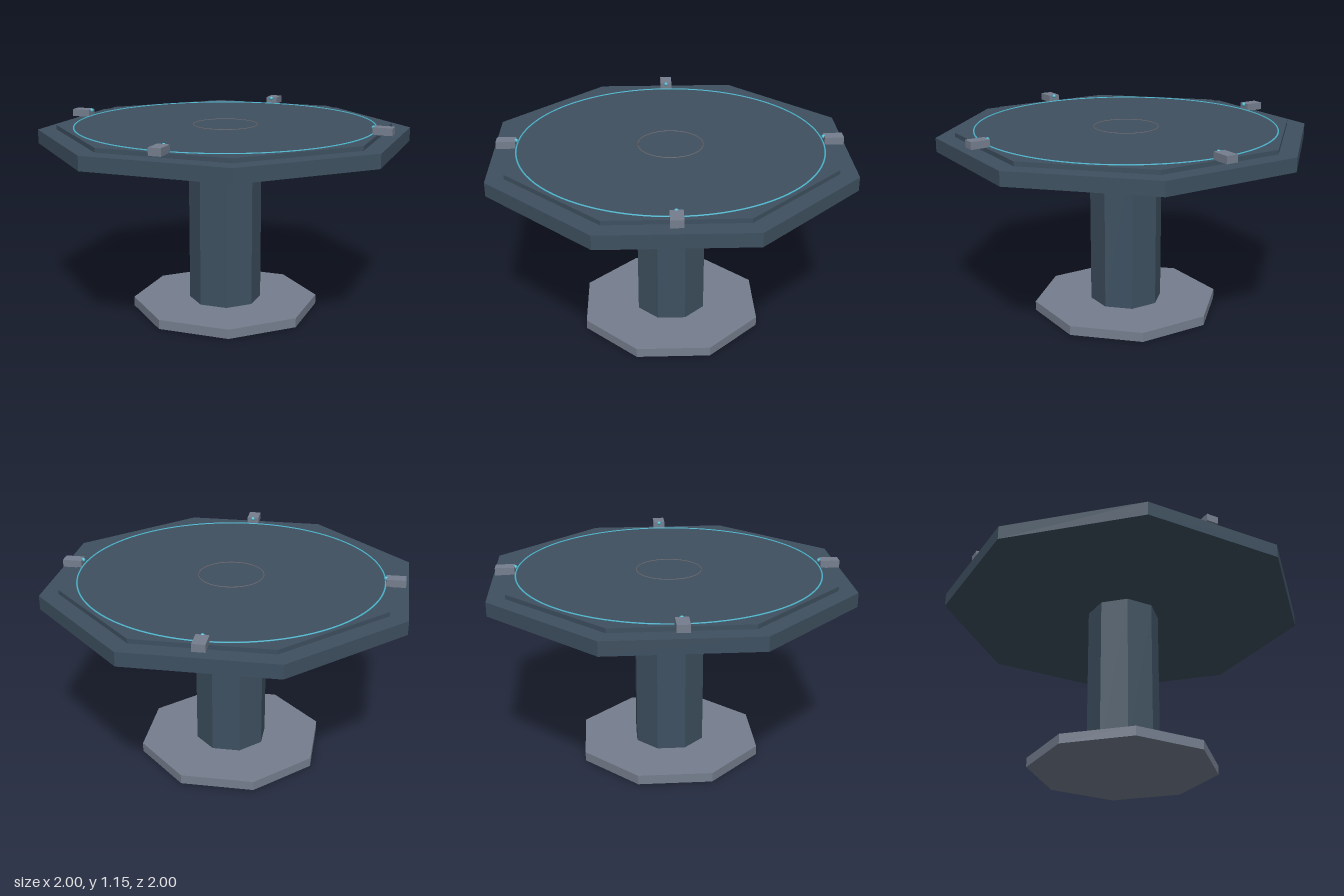
import * as THREE from 'three';

const mat = (name, color, flatShading = false) => {
  const m = new THREE.MeshStandardMaterial({ color, flatShading });
  m.name = name;
  return m;
};

export function createModel() {
  const group = new THREE.Group();
  const slate = mat('slate blue', 0x3e5060, true);
  const metal = mat('grey metal', 0x757e8e, true);
  const glow = mat('cyan glow', 0x4fb8d0);
  const trim = mat('warm grey trim', 0x6c686e);

  const add = (name, geometry, material, x = 0, y = 0, z = 0) => {
    const mesh = new THREE.Mesh(geometry, material);
    mesh.name = name;
    mesh.position.set(x, y, z);
    group.add(mesh);
    return mesh;
  };

  // Octagonal prism with flat sides facing the axes
  const octagon = (name, apothem, y0, y1, material) => {
    const r = apothem / Math.cos(Math.PI / 8);
    const geometry = new THREE.CylinderGeometry(r, r, y1 - y0, 8).rotateY(Math.PI / 8);
    return add(name, geometry, material, 0, (y0 + y1) / 2, 0);
  };

  octagon('base', 0.51, 0, 0.055, metal);
  octagon('column', 0.197, 0.055, 1.005, slate);
  octagon('tableTop', 1, 1.005, 1.085, slate);
  octagon('raisedPanel', 0.9, 1.085, 1.11, slate);

  // Rings set into the table surface
  const ring = (name, radius, tube, material) =>
    add(name, new THREE.TorusGeometry(radius, tube, 6, 96).rotateX(Math.PI / 2), material, 0, 1.11, 0);
  ring('outerRing', 0.87, 0.005, glow);
  ring('innerRing', 0.186, 0.003, trim);

  // Four diagonal clamps, each with a small lamp at its inner end
  for (let i = 0; i < 4; i++) {
    const a = Math.PI / 4 + i * Math.PI / 2;
    const c = Math.cos(a), s = Math.sin(a);
    const clamp = add('clamp', new THREE.BoxGeometry(0.11, 0.042, 0.07), metal, 0.927 * c, 1.129, 0.927 * s);
    clamp.rotation.y = -a;
    add('clampLamp', new THREE.SphereGeometry(0.012, 12, 8), glow, 0.87 * c, 1.143, 0.87 * s);
  }
  return group;
}
